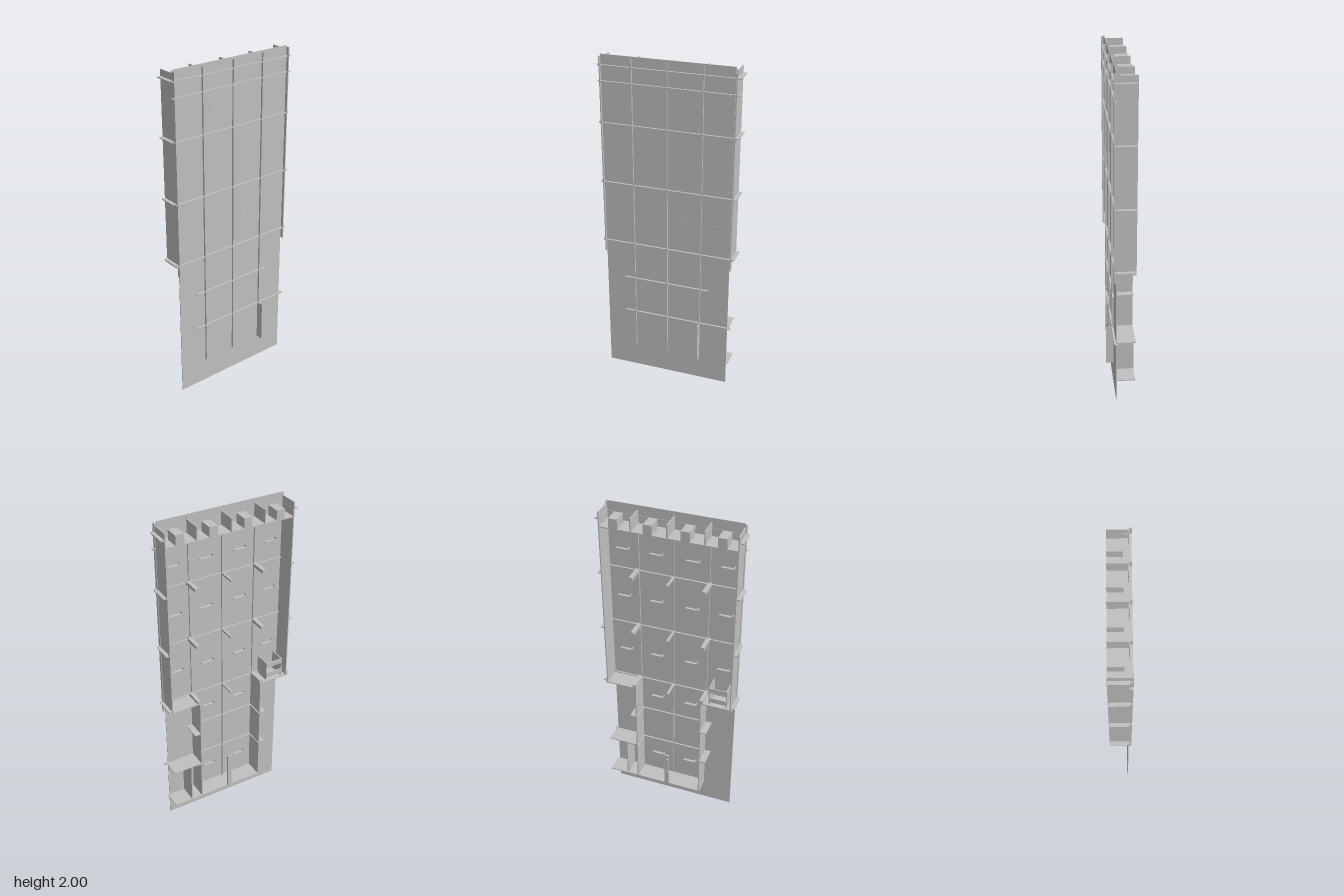
import * as THREE from 'three';

export function createModel() {
  const model = new THREE.Group();
  model.name = 'wallPanel';
  const grey = new THREE.MeshStandardMaterial({ color: 0xc0c0c0 });
  grey.name = 'plain grey';

  // Box given by its limits on each axis
  const block = (name, x0, x1, y0, y1, z0, z1) => {
    const mesh = new THREE.Mesh(new THREE.BoxGeometry(x1 - x0, y1 - y0, z1 - z0), grey);
    mesh.position.set((x0 + x1) / 2, (y0 + y1) / 2, (z0 + z1) / 2);
    mesh.name = name;
    model.add(mesh);
  };
  const T = 0.003;            // half thickness of the plates
  const BACK = -0.073, FACE = 0.038;
  const wall = (name, x, y0, y1, z0 = BACK, z1 = FACE) => block(name, x - T, x + T, y0, y1, z0, z1);
  const shelf = (name, y, x0, x1, z0 = BACK, z1 = FACE) => block(name, x0, x1, y - T, y + T, z0, z1);

  // Facing sheet
  block('facingSheet', -0.385, 0.38, 0, 2, 0.036, 0.04);

  // Vertical and horizontal strips in front of the sheet
  wall('edgeStrip', -0.388, 0.8, 1.99, 0.036, 0.054);
  wall('edgeStrip', 0.388, 0.8, 1.99, 0.036, 0.054);
  for (const x of [-0.205, 0, 0.205]) wall('frontStrip', x, 0.15, 1.99, 0.034, 0.052);
  const rows = [1.94, 1.85, 1.61, 1.25, 0.87];
  for (const y of rows) shelf('crossStrip', y, -0.4, 0.405, 0.034, 0.052);
  shelf('crossStrip', 0.635, -0.27, 0.26, 0.034, 0.052);
  shelf('crossStrip', 0.4, -0.27, 0.4, 0.034, 0.052);
  wall('frontFin', 0.205, 0.145, 0.4, 0.038, 0.085);

  // Side walls, stepping inward below the ledges
  for (const s of [-1, 1]) {
    wall('upperSideWall', s * 0.385, 0.855, 1.98);
    wall('lowerSideWall', s * 0.205, 0.14, 0.86);
    shelf('ledge', 0.858, Math.min(s * 0.2, s * 0.4), Math.max(s * 0.2, s * 0.4));
    // Narrow flanges outside the side walls
    for (const y of [1.94, 1.61, 1.25, 0.87]) {
      shelf('sideFlange', y, s * 0.395 - 0.014, s * 0.395 + 0.014, -0.07, 0.036);
    }
    for (const y of [0.635, 0.4]) {
      shelf('lowerFlange', y, s * 0.22 - 0.025, s * 0.22 + 0.025);
    }
  }

  // Floor, ceiling and the small side compartment
  shelf('floorPlate', 0.142, -0.21, 0.39);
  shelf('sideShelf', 0.405, 0.2, 0.39);
  wall('compartmentWall', 0.275, 0.142, 0.405);
  shelf('ceilingPlate', 1.895, -0.385, 0.385);
  for (const x of [-0.3, -0.1, 0.108, 0.303]) {
    block('topBracket', x - 0.025, x + 0.025, 1.895, 1.955, BACK, 0.01);
  }
  for (const x of [-0.205, 0, 0.205]) wall('topRib', x, 1.895, 1.975);

  // Bars reaching back from the sheet, and thin ribs across its back
  for (const y of [1.61, 1.25, 0.87]) {
    for (const x of [-0.208, 0.212]) block('backBar', x - 0.011, x + 0.011, y - 0.01, y + 0.01, BACK, FACE);
    block('centreBar', -0.006, 0.006, y - 0.006, y + 0.006, -0.073, FACE);
    shelf('backRib', y, -0.385, 0.385, 0.026, FACE);
  }
  for (const y of [0.635, 0.4]) shelf('backRib', y, -0.205, 0.205, 0.026, FACE);
  for (const x of [-0.205, 0, 0.205]) wall('backRib', x, 0.142, 1.895, 0.026, FACE);

  // Small hooks through the sheet
  for (const y of [1.73, 1.43, 1.06, 0.75, 0.285]) {
    for (const x of [-0.305, -0.11, 0.1, 0.297]) {
      if (y < 0.86 && Math.abs(x) > 0.2) continue;
      shelf('hook', y, x - 0.038, x + 0.038, 0.02, 0.041);
      block('hookTip', x - 0.04, x - 0.035, y, y + 0.016, 0.02, 0.041);
    }
  }

  // Post standing at the back of the floor, with a knob
  block('backPost', -0.005, 0.022, 0.142, 0.38, -0.076, -0.066);
  for (const y of [0.25, 0.35]) block('postKnob', -0.004, 0.004, y - 0.004, y + 0.004, -0.085, -0.07);

  // Open frame standing on the right-hand ledge
  block('ledgeFrameSide', -0.36, -0.354, 0.86, 0.98, -0.06, 0.036);
  block('ledgeFrameSide', -0.256, -0.25, 0.86, 0.98, -0.06, 0.036);
  block('ledgeFrameRail', -0.36, -0.25, 0.95, 0.98, -0.064, -0.058);
  block('ledgeFrameRail', -0.36, -0.25, 0.88, 0.91, -0.064, -0.058);
  return model;
}
